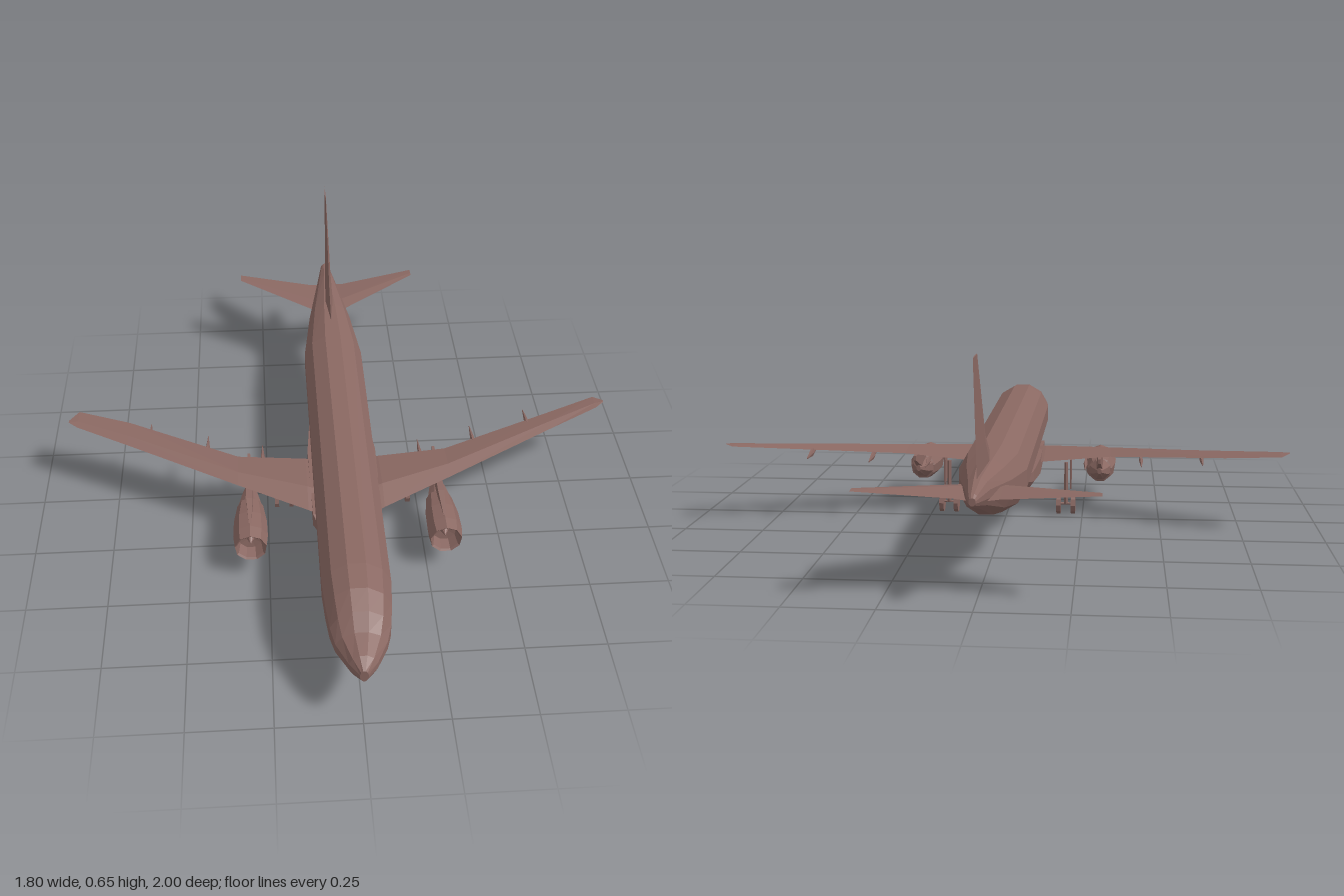
import * as THREE from 'three';

const paint = new THREE.MeshStandardMaterial({ color: 0x8a6862, flatShading: true });
paint.name = 'dusty brown';

// Closed skin through rings of [x, y, z] points; faces are turned outward.
function loft(rings) {
  const n = rings[0].length, tris = [];
  for (let r = 0; r < rings.length - 1; r++) {
    for (let i = 0; i < n; i++) {
      const j = (i + 1) % n;
      const a = rings[r][i], b = rings[r][j], c = rings[r + 1][j], d = rings[r + 1][i];
      tris.push([a, b, c], [a, c, d]);
    }
  }
  const first = rings[0], last = rings[rings.length - 1];
  for (let i = 1; i < n - 1; i++) {
    tris.push([first[0], first[i + 1], first[i]], [last[0], last[i], last[i + 1]]);
  }
  const v = (p) => new THREE.Vector3(...p);
  const volume = tris.reduce((s, [a, b, c]) => s + v(a).dot(v(b).cross(v(c))), 0);
  if (volume < 0) tris.forEach((t) => t.reverse());
  const geo = new THREE.BufferGeometry();
  geo.setAttribute('position', new THREE.Float32BufferAttribute(tris.flat(2), 3));
  geo.computeVertexNormals();
  return geo;
}

// Polygonal oval section across z.
function oval(x, z, bottom, top, halfWidth, sides) {
  const k = 1 / Math.cos(Math.PI / sides);
  return Array.from({ length: sides }, (_, i) => {
    const a = ((i + 0.5) / sides) * Math.PI * 2;
    return [x + Math.sin(a) * halfWidth * k, (top + bottom) / 2 + Math.cos(a) * k * (top - bottom) / 2, z];
  });
}

// Four-point aerofoil section at span x.
function foil(x, lead, trail, y, t) {
  const crest = lead + (trail - lead) * 0.35;
  return [[x, y, lead], [x, y + t / 2, crest], [x, y, trail], [x, y - t / 2, crest]];
}

export function createModel() {
  const model = new THREE.Group();
  const add = (name, geo, x = 0, y = 0, z = 0) => {
    const mesh = new THREE.Mesh(geo, paint);
    mesh.name = name;
    mesh.position.set(x, y, z);
    model.add(mesh);
    return mesh;
  };
  const wheel = (name, r, w, x, y, z) => add(name, new THREE.CylinderGeometry(r, r, w, 10).rotateZ(Math.PI / 2), x, y, z);

  // Fuselage: z, bottom, top, half width
  add('fuselage', loft([
    [1.0, 0.185, 0.225, 0.012], [0.965, 0.165, 0.248, 0.04], [0.895, 0.148, 0.264, 0.073],
    [0.855, 0.143, 0.305, 0.086], [0.79, 0.137, 0.33, 0.094], [0.7, 0.134, 0.338, 0.1],
    [-0.45, 0.134, 0.338, 0.1], [-0.66, 0.178, 0.337, 0.073], [-0.87, 0.245, 0.33, 0.034],
    [-0.985, 0.277, 0.313, 0.015], [-1.0, 0.284, 0.305, 0.009],
  ].map(([z, b, t, w]) => oval(0, z, b, t, w, 12))));

  // Belly fairing between the wings
  const belly = (z, b, t, w) => [[-w, t, z], [w, t, z], [w, b + 0.025, z], [w * 0.82, b, z], [-w * 0.82, b, z], [-w, b + 0.025, z]];
  add('bellyFairing', loft([
    belly(0.42, 0.145, 0.17, 0.075), belly(0.33, 0.127, 0.2, 0.108), belly(0.02, 0.125, 0.2, 0.112),
    belly(-0.13, 0.13, 0.19, 0.1), belly(-0.22, 0.145, 0.17, 0.07),
  ]));

  // Fin with its dorsal fillet: y, leading z, trailing z, half thickness
  add('tailFin', loft([
    [0.32, -0.52, -0.885, 0.014], [0.345, -0.56, -0.893, 0.013], [0.405, -0.665, -0.908, 0.01], [0.654, -0.868, -0.968, 0.002],
  ].map(([y, l, t, h]) => {
    const mid = l + (t - l) * 0.4;
    return [[0, y, l], [h, y, mid], [0, y, t], [-h, y, mid]];
  })));

  for (const s of [1, -1]) {
    const side = s > 0 ? 'left' : 'right';
    const sweep = s > 0 ? 0 : -0.025;

    // Cranked main wing with a clipped tip
    add(side + 'Wing', loft([
      foil(s * 0.04, 0.335, 0.04, 0.17, 0.05), foil(s * 0.12, 0.295, 0.04, 0.185, 0.045),
      foil(s * 0.34, 0.185, 0.04, 0.205, 0.026), foil(s * 0.7, 0.0, -0.085 + sweep * 1.4, 0.239, 0.014),
      foil(s * 0.87, -0.085, -0.145 + sweep, 0.255, 0.006), foil(s * 0.9, -0.11, -0.12, 0.258, 0.002),
    ]));

    // Tailplane
    add(side + 'Tailplane', loft([
      foil(s * 0.01, -0.685, -0.9, 0.272, 0.02), foil(s * 0.06, -0.72, -0.892, 0.277, 0.017), foil(s * 0.325, -0.9, -0.938, 0.302, 0.003),
    ]));

    // Engine: cowl with open intake, fan, spinner and exhaust cone
    const ex = s * 0.305;
    const cowl = [[0.0, 0.345], [0.038, 0.35], [0.044, 0.39], [0.05, 0.395], [0.055, 0.35], [0.053, 0.28], [0.042, 0.205], [0.032, 0.2]]
      .map(([r, z]) => new THREE.Vector2(r, -z)).reverse();
    const cowlGeo = new THREE.LatheGeometry(cowl.reverse(), 9).rotateX(-Math.PI / 2);
    add(side + 'EngineCowl', cowlGeo, ex, 0.126, 0);
    add(side + 'EngineSpinner', new THREE.ConeGeometry(0.014, 0.03, 8).rotateX(Math.PI / 2), ex, 0.126, 0.36);
    add(side + 'EngineExhaust', loft([
      oval(ex, 0.215, 0.09, 0.162, 0.038, 8), oval(ex, 0.16, 0.105, 0.158, 0.026, 8), oval(ex, 0.1, 0.133, 0.15, 0.007, 8),
    ]));

    // Pylon joining the engine to the wing
    const pylon = (z, b, t, w) => [[ex - w, t, z], [ex + w, t, z], [ex + w, b, z], [ex - w, b, z]];
    add(side + 'EnginePylon', loft([
      pylon(0.34, 0.172, 0.18, 0.004), pylon(0.24, 0.15, 0.198, 0.01), pylon(0.12, 0.145, 0.2, 0.01), pylon(0.02, 0.185, 0.2, 0.004),
    ]));

    // Flap track fairings under the trailing edge: span, rear end, height
    for (const [x, rear, y] of [[0.26, -0.045, 0.185], [0.44, -0.08, 0.206], [0.63, -0.135, 0.225]]) {
      add(side + 'FlapFairing', loft([
        oval(s * x, rear + 0.14, y + 0.001, y + 0.007, 0.002, 6), oval(s * x, rear + 0.07, y - 0.012, y + 0.01, 0.006, 6),
        oval(s * x, rear, y - 0.009, y - 0.005, 0.001, 6),
      ]));
    }

    // Main landing gear
    add(side + 'MainGearLeg', new THREE.CylinderGeometry(0.007, 0.007, 0.14, 6), s * 0.195, 0.11, 0.06);
    add(side + 'MainGearAxle', new THREE.CylinderGeometry(0.004, 0.004, 0.05, 6).rotateZ(Math.PI / 2), s * 0.195, 0.04, 0.06);
    for (const dx of [-0.024, 0.024]) wheel(side + 'MainWheel', 0.034, 0.014, s * 0.195 + dx, 0.04, 0.06);
    const door = new THREE.Shape([[0.05, 0.19], [0.115, 0.19], [0.105, 0.115], [0.06, 0.09]].map(([z, y]) => new THREE.Vector2(-z, y)));
    add(side + 'MainGearDoor', new THREE.ExtrudeGeometry(door, { depth: 0.005, bevelEnabled: false }).rotateY(Math.PI / 2), s * 0.21 - 0.0025);

    wheel('noseWheel', 0.016, 0.008, s * 0.011, 0.05, 0.735);
  }

  // Nose landing gear
  add('noseGearLeg', new THREE.CylinderGeometry(0.003, 0.003, 0.1, 6), 0, 0.098, 0.73);
  add('noseGearAxle', new THREE.CylinderGeometry(0.003, 0.003, 0.022, 6).rotateZ(Math.PI / 2), 0, 0.05, 0.735);

  return model;
}
